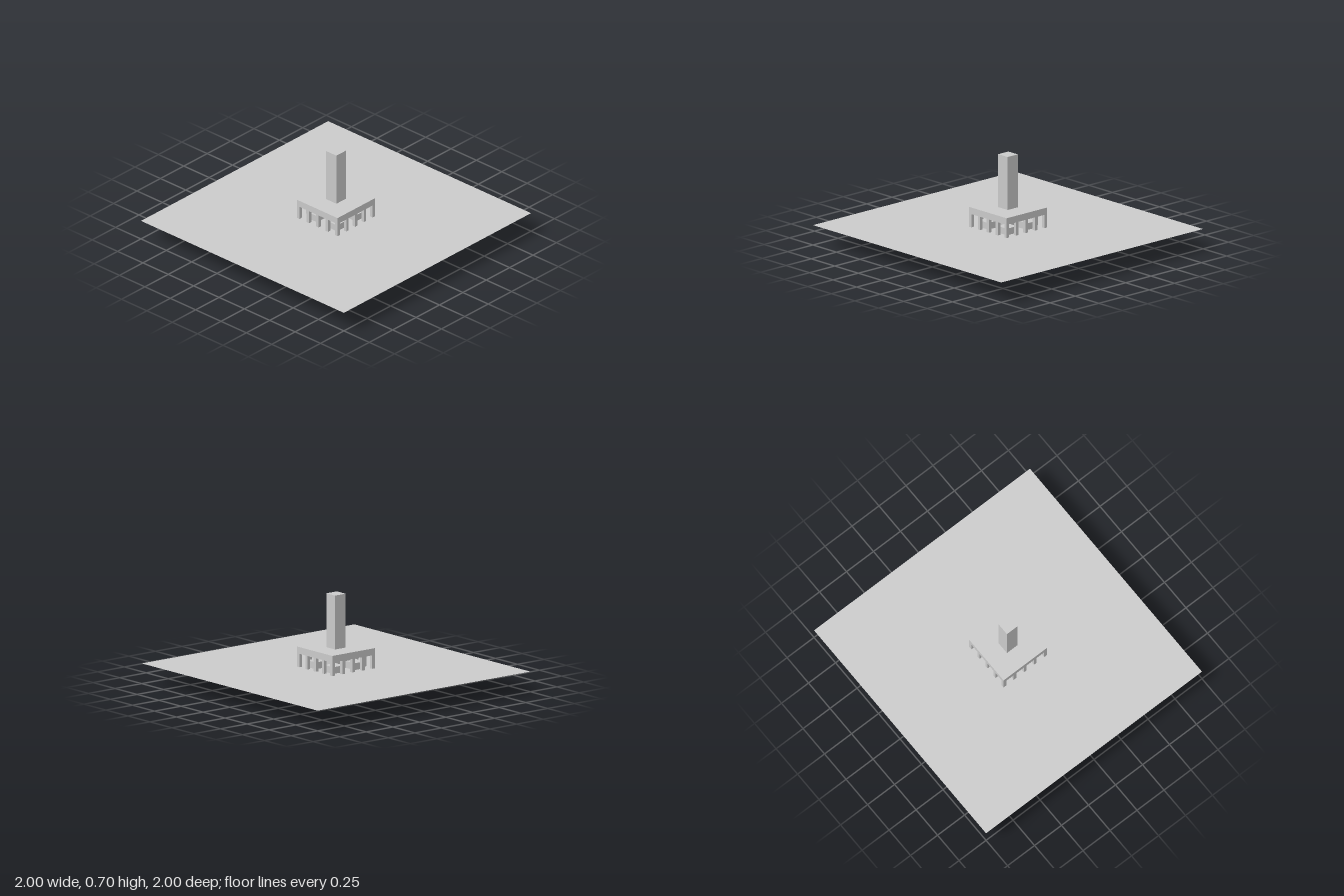
import * as THREE from 'three';

export function createModel() {
  const model = new THREE.Group();
  const material = new THREE.MeshStandardMaterial({ color: 0xcccccc, flatShading: true });

  // Square block standing on y = bottom
  function block(name, width, bottom, top, x = 0, z = 0, parent = model) {
    const mesh = new THREE.Mesh(new THREE.BoxGeometry(width, top - bottom, width), material);
    mesh.name = name;
    mesh.position.set(x, (bottom + top) / 2, z);
    parent.add(mesh);
  }

  // Thin ground sheet, level with the top of the base
  const sheetMaterial = material.clone();
  sheetMaterial.side = THREE.DoubleSide;
  const sheet = new THREE.Mesh(new THREE.PlaneGeometry(2, 2).rotateX(-Math.PI / 2), sheetMaterial);
  sheet.name = 'groundSheet';
  sheet.position.y = 0.15;
  model.add(sheet);

  // Base, roof and the tower running through both
  block('base', 0.4, 0.1, 0.15);
  block('roof', 0.4, 0.25, 0.3);
  block('tower', 0.1, 0, 0.7);

  // Colonnade: five posts along each side
  const posts = new THREE.Group();
  posts.name = 'posts';
  model.add(posts);
  const last = 4, reach = 0.1875;
  for (let i = 0; i <= last; i++) {
    for (let j = 0; j <= last; j++) {
      if (i % last !== 0 && j % last !== 0) continue;
      block('post', 0.025, 0.15, 0.25, reach * (i / 2 - 1), reach * (j / 2 - 1), posts);
    }
  }

  // Low blocks on the floor around the tower
  const plinths = new THREE.Group();
  plinths.name = 'floorBlocks';
  model.add(plinths);
  for (const x of [-0.1, 0.1]) {
    for (const z of [-0.1, 0.1]) block('floorBlock', 0.1, 0.15, 0.2, x, z, plinths);
  }

  return model;
}
